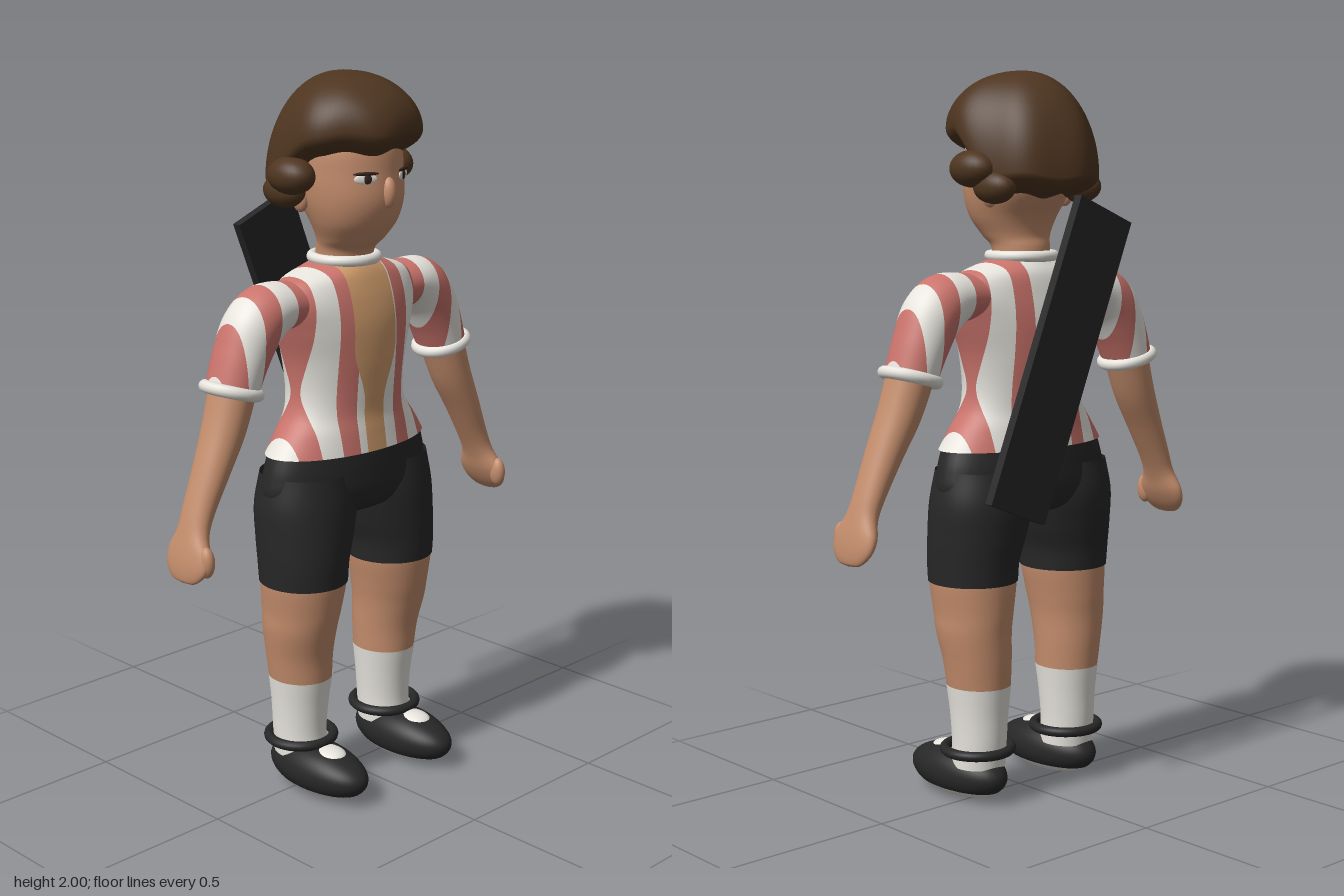
import * as THREE from 'three';
import { mergeGeometries } from 'three/addons/utils/BufferGeometryUtils.js';

const mat = (name, color, side = THREE.FrontSide) => new THREE.MeshStandardMaterial({ name, color, side });
const D = THREE.DoubleSide;
const step = THREE.MathUtils.smoothstep;

// Closed-around surface: fn(v, angle) for v from 0 (top) to 1 (bottom)
function surface(nv, na, fn) {
  const pos = [], idx = [];
  for (let i = 0; i <= nv; i++)
    for (let j = 0; j < na; j++) {
      pos.push(...fn(i / nv, (j / na) * Math.PI * 2));
      if (i === nv) continue;
      const a = i * na + j, b = i * na + ((j + 1) % na);
      idx.push(a, b, a + na, b, b + na, a + na);
    }
  const g = new THREE.BufferGeometry();
  g.setAttribute('position', new THREE.Float32BufferAttribute(pos, 3));
  g.setIndex(idx);
  g.computeVertexNormals();
  return g;
}

// Smooth loft through oval rings [x, y, z, rx, rz, tilt in degrees], top to bottom; s = -1 mirrors it
function loft(rings, s = 1, nv = rings.length * 6, na = 48) {
  const curve = (pts) => new THREE.CatmullRomCurve3(pts, false, 'catmullrom');
  const centre = curve(rings.map((r) => new THREE.Vector3(s * r[0], r[1], r[2])));
  const size = curve(rings.map((r) => new THREE.Vector3(r[3], r[4], s * (r[5] || 0) * Math.PI / 180)));
  return surface(nv, na, (v, a) => {
    const c = centre.getPoint(v), q = size.getPoint(v), u = q.x * Math.cos(a);
    return [c.x + u * Math.cos(q.z), c.y + u * Math.sin(q.z), c.z + q.y * Math.sin(a)];
  });
}

// Keep the part of a geometry where f(point) >= 0
function clip(geo, f) {
  const g = geo.index ? geo.toNonIndexed() : geo;
  const P = g.attributes.position, N = g.attributes.normal, pos = [], nor = [];
  for (let i = 0; i < P.count; i += 3) {
    const tri = [0, 1, 2].map((j) => {
      const p = new THREE.Vector3().fromBufferAttribute(P, i + j);
      return { p, n: new THREE.Vector3().fromBufferAttribute(N, i + j), d: f(p) };
    });
    const poly = [];
    tri.forEach((a, j) => {
      const b = tri[(j + 1) % 3];
      if (a.d >= 0) poly.push(a);
      if ((a.d >= 0) !== (b.d >= 0)) {
        const t = a.d / (a.d - b.d);
        poly.push({ p: a.p.clone().lerp(b.p, t), n: a.n.clone().lerp(b.n, t).normalize() });
      }
    });
    for (let k = 1; k + 1 < poly.length; k++)
      for (const q of [poly[0], poly[k], poly[k + 1]]) { pos.push(...q.p); nor.push(...q.n); }
  }
  const out = new THREE.BufferGeometry();
  out.setAttribute('position', new THREE.Float32BufferAttribute(pos, 3));
  out.setAttribute('normal', new THREE.Float32BufferAttribute(nor, 3));
  return out;
}

// Split into vertical stripes by distance from the middle: [white, red]
function stripes(geo) {
  const edges = [-0.01, 0.07, 0.125, 0.185, 0.24, 0.3, 0.355, 0.41, 0.46, 0.6];
  const sets = [[], []];
  for (let k = 0; k + 1 < edges.length; k++) {
    const outer = clip(geo, (p) => Math.abs(p.x) - edges[k]);
    const band = clip(outer, (p) => edges[k + 1] - Math.abs(p.x));
    if (band.attributes.position.count) sets[k % 2].push(band);
  }
  return sets.map((list) => mergeGeometries(list));
}

export function createModel() {
  const root = new THREE.Group();
  root.name = 'footballer';
  const skin = mat('skin', 0xc48d6c), tan = mat('shirt tan', 0xd09c6c, D), white = mat('white', 0xe9e6df, D);
  const red = mat('stripe red', 0xc9736b, D), black = mat('black', 0x272727, D), hairMat = mat('hair brown', 0x4e3520, D);
  const dark = mat('eye dark', 0x35241a), lip = mat('lip', 0xa5645a);

  const add = (name, geo, material, parent = root) => {
    const m = new THREE.Mesh(geo, material);
    m.name = name;
    parent.add(m);
    return m;
  };
  const blob = (name, material, [x, y, z], [rx, ry, rz], ry2 = 0) => {
    const m = add(name, new THREE.SphereGeometry(1, 24, 16), material);
    m.position.set(x, y, z);
    m.scale.set(rx, ry, rz);
    m.rotation.y = ry2;
    return m;
  };
  const ring = (name, material, [x, y, z], r, tube, tilt = 0) => {
    const m = add(name, new THREE.TorusGeometry(r, tube, 12, 40).rotateX(Math.PI / 2), material);
    m.position.set(x, y, z);
    m.rotation.z = tilt;
  };

  // Shirt body with an open-coloured middle panel
  const torso = loft([
    [0, 1.5, -0.01, 0.08, 0.075], [0, 1.485, -0.01, 0.13, 0.09], [0, 1.455, -0.012, 0.215, 0.108],
    [0, 1.4, -0.01, 0.245, 0.125], [0, 1.33, -0.01, 0.225, 0.138], [0, 1.24, -0.011, 0.197, 0.14],
    [0, 1.15, -0.01, 0.187, 0.132], [0, 1.09, -0.008, 0.2, 0.126], [0, 1.04, -0.006, 0.237, 0.13],
    [0, 0.985, -0.006, 0.276, 0.138]], 1, 60, 80);
  const panel = (p) => Math.min(0.035 + 0.04 * step(p.y, 1.12, 1.28) - Math.abs(p.x + 0.01), p.z);
  add('shirtPanel', clip(torso, panel), tan);
  const [bodyWhite, bodyRed] = stripes(clip(torso, (p) => -panel(p)));
  add('shirtWhite', bodyWhite, white);
  add('shirtRed', bodyRed, red);
  ring('collar', white, [0, 1.503, -0.01], 0.088, 0.015);

  // Shorts seat
  add('shortsSeat', loft([
    [0, 0.995, -0.006, 0.265, 0.13], [0, 0.93, -0.008, 0.285, 0.135], [0, 0.87, -0.01, 0.287, 0.135],
    [0, 0.82, -0.01, 0.23, 0.115], [0, 0.798, -0.01, 0.1, 0.07], [0, 0.793, -0.01, 0.002, 0.002]]), black);

  for (const s of [1, -1]) {
    const side = s > 0 ? 'left' : 'right';
    // Arms
    const [w, r] = stripes(loft([
      [0.16, 1.395, -0.015, 0.065, 0.075, 78], [0.265, 1.398, -0.016, 0.076, 0.082, 58],
      [0.328, 1.355, -0.018, 0.08, 0.084, 36], [0.37, 1.28, -0.02, 0.074, 0.08, 25],
      [0.407, 1.19, -0.02, 0.067, 0.075, 20]], s));
    add(side + 'SleeveWhite', w, white);
    add(side + 'SleeveRed', r, red);
    ring(side + 'Cuff', white, [s * 0.404, 1.197, -0.02], 0.071, 0.017, s * 0.27);
    add(side + 'Forearm', loft([
      [0.4, 1.21, -0.018, 0.062, 0.068, 22], [0.44, 1.1, -0.014, 0.056, 0.063, 24],
      [0.488, 1, -0.01, 0.046, 0.056, 25], [0.535, 0.9, -0.009, 0.037, 0.05, 25],
      [0.557, 0.845, -0.006, 0.033, 0.054, 24], [0.573, 0.795, -0.002, 0.031, 0.078, 22],
      [0.587, 0.755, 0, 0.024, 0.075, 20], [0.598, 0.725, 0, 0.012, 0.045, 20],
      [0.6, 0.718, 0, 0.001, 0.001, 20]], s), skin);
    blob(side + 'Thumb', skin, [s * 0.572, 0.782, 0.062], [0.02, 0.042, 0.026]);

    // Legs
    add(side + 'ShortsLeg', loft([
      [0.148, 0.93, -0.01, 0.13, 0.125], [0.15, 0.84, -0.01, 0.147, 0.137], [0.16, 0.75, -0.004, 0.138, 0.135],
      [0.17, 0.68, 0.001, 0.126, 0.13], [0.171, 0.62, 0.002, 0.122, 0.126]], s), black);
    add(side + 'Leg', loft([
      [0.171, 0.66, 0.002, 0.115, 0.118], [0.171, 0.62, 0.002, 0.119, 0.122], [0.174, 0.54, -0.003, 0.108, 0.116],
      [0.177, 0.48, -0.008, 0.102, 0.108], [0.172, 0.4, -0.016, 0.093, 0.098],
      [0.168, 0.328, -0.017, 0.086, 0.093]], s), skin);
    add(side + 'Sock', loft([
      [0.168, 0.33, -0.017, 0.087, 0.094], [0.168, 0.25, -0.019, 0.079, 0.084],
      [0.169, 0.17, -0.02, 0.074, 0.079], [0.169, 0.1, -0.015, 0.074, 0.078]], s), white);
    ring(side + 'ShoeStrap', black, [s * 0.169, 0.146, -0.014], 0.092, 0.014);

    // Shoe: one rounded form cut into upper and sole
    const shoe = surface(28, 40, (v, a) => {
      const t = v * Math.PI, q = Math.pow(Math.sin(t), 0.85) + 1e-4, z = 0.178 * q * Math.sin(a);
      const y = Math.cos(t), lift = z > 0.02 && y > 0 ? 0.12 * step(z, 0.02, 0.18) : 0;
      return [s * 0.172 + 0.087 * q * Math.cos(a), 0.07 + 0.07 * y * (1 - lift), 0.062 + z];
    });
    add(side + 'ShoeUpper', clip(shoe, (p) => p.y - 0.03), black);
    add(side + 'ShoeSole', clip(shoe, (p) => 0.03 - p.y), white);
    blob(side + 'ShoeTongue', white, [s * 0.172, 0.122, 0.105], [0.042, 0.021, 0.055]);

    // Face side details
    blob(side + 'Ear', skin, [s * 0.138, 1.675, -0.035], [0.018, 0.04, 0.028]);
    blob(side + 'EyeWhite', white, [s * 0.07, 1.733, 0.141], [0.032, 0.014, 0.005], s * 0.45);
    blob(side + 'Iris', dark, [s * 0.067, 1.733, 0.145], [0.013, 0.013, 0.004], s * 0.45);
    blob(side + 'EyeLid', dark, [s * 0.07, 1.747, 0.142], [0.036, 0.005, 0.005], s * 0.45);
  }

  // Head and neck
  add('head', loft([
    [0, 1.93, -0.01, 0.01, 0.01], [0, 1.9, -0.01, 0.1, 0.1], [0, 1.82, -0.008, 0.145, 0.15],
    [0, 1.74, 0, 0.149, 0.156], [0, 1.67, 0.014, 0.141, 0.147], [0, 1.61, 0.025, 0.122, 0.118],
    [0, 1.56, 0.014, 0.096, 0.092], [0, 1.525, -0.006, 0.082, 0.078], [0, 1.46, -0.01, 0.082, 0.078]]), skin);
  blob('nose', skin, [0, 1.692, 0.155], [0.021, 0.042, 0.024]);
  blob('mouth', lip, [0, 1.637, 0.135], [0.036, 0.008, 0.009]);

  // Hair cap: short fringe in front, longer at the back, gently waved
  add('hair', surface(40, 72, (v, a) => {
    const f = Math.sin(a), t = Math.max(v, 0.002) * Math.PI, c = Math.cos(t);
    const bottom = 1.655 + 0.115 * step(f, -0.5, 0.35) + 0.006 * Math.sin(a * 6);
    const mid = bottom + 0.075 + 0.01 * f;
    const r = Math.pow(Math.sin(t), 0.95) * (1 + 0.02 * Math.sin(a * 7 + 1) * step(v, 0.15, 0.5));
    const y = c > 0 ? mid + (2 - mid) * c : mid + (mid - bottom) * c;
    return [0.2 * r * Math.cos(a), y, -0.013 + 0.217 * r * f];
  }), hairMat);
  for (const s of [1, -1]) {
    blob('hairSideCurl', hairMat, [s * 0.185, 1.738, -0.02], [0.053, 0.05, 0.075]);
    blob('hairLowerCurl', hairMat, [s * 0.158, 1.69, -0.075], [0.045, 0.045, 0.07]);
  }

  // Leaning board behind the back
  const board = add('backBoard', new THREE.BoxGeometry(0.205, 0.862, 0.026), black);
  board.position.set(0.035, 1.23, -0.199);
  board.rotation.z = 22 * Math.PI / 180;
  return root;
}
